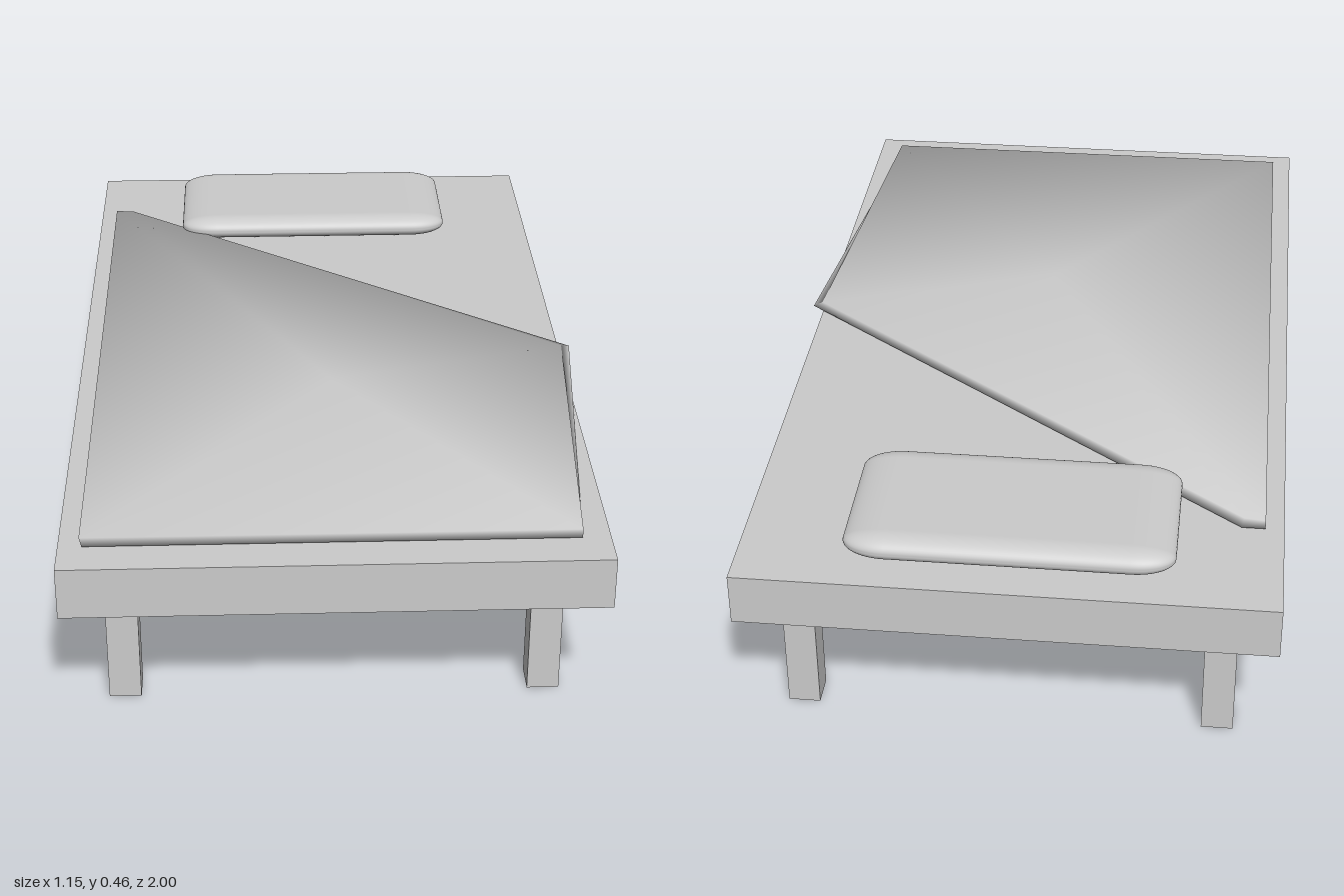
import * as THREE from 'three';
import { RoundedBoxGeometry } from 'three/addons/geometries/RoundedBoxGeometry.js';

const material = new THREE.MeshStandardMaterial({ color: 0xcccccc });

function addMesh(parent, name, geometry, x, y, z) {
  const mesh = new THREE.Mesh(geometry, material);
  mesh.name = name;
  mesh.position.set(x, y, z);
  parent.add(mesh);
  return mesh;
}

// Thin sheet from a lower and an upper outline, with softly fanned normals
function blanketGeometry() {
  const lower = [[-0.54, 0.41, -0.73], [-0.49, 0.41, -0.73], [0.575, 0.413, 0.07], [0.49, 0.41, 0.92], [-0.53, 0.41, 0.92]];
  const upper = [[-0.54, 0.431, -0.73], [-0.495, 0.431, -0.725], [0.555, 0.419, 0.08], [0.49, 0.43, 0.92], [-0.535, 0.431, 0.92]];
  const n = lower.length;
  const points = [...lower, ...upper, [0, 0.41, 0.25], [0, 0.43, 0.25]];
  const normals = points.map(([x, , z], i) => {
    const up = i < n || i === 2 * n ? -1 : 1;
    if (i >= 2 * n) return [0, up, 0];
    return new THREE.Vector3(Math.sign(x) * 0.65, up, Math.sign(z - 0.25) * 0.65).normalize().toArray();
  });
  const index = [];
  for (let i = 0; i < n; i++) {
    const j = (i + 1) % n;
    index.push(2 * n + 1, n + j, n + i); // top
    index.push(2 * n, i, j); // underside
    index.push(j, i, n + i, j, n + i, n + j); // hem
  }
  const geometry = new THREE.BufferGeometry();
  geometry.setAttribute('position', new THREE.Float32BufferAttribute(points.flat(), 3));
  geometry.setAttribute('normal', new THREE.Float32BufferAttribute(normals.flat(), 3));
  geometry.setIndex(index);
  return geometry;
}

export function createModel() {
  const bed = new THREE.Group();
  bed.name = 'bed';

  // Mattress slab
  addMesh(bed, 'mattress', new THREE.BoxGeometry(1.13, 0.115, 2), -0.015, 0.3485, 0);

  // Three pairs of legs, set just below the slab
  const legGeometry = new THREE.BoxGeometry(0.068, 0.273, 0.068);
  const rows = { front: 0.835, middle: -0.033, back: -0.865 };
  for (const [row, z] of Object.entries(rows)) {
    addMesh(bed, row + 'RightLeg', legGeometry, -0.461, 0.1365, z);
    addMesh(bed, row + 'LeftLeg', legGeometry, 0.433, 0.1365, z);
  }

  // Pillow: rounded box whose radius is stretched differently on each axis
  const radius = [0.09, 0.027, 0.05];
  const size = [0.69, 0.057, 0.36].map((s, i) => s / radius[i]);
  const pillow = addMesh(bed, 'pillow', new RoundedBoxGeometry(...size, 6, 1), -0.015, 0.4345, -0.752);
  pillow.scale.set(...radius);

  // Blanket with one corner turned away
  addMesh(bed, 'blanket', blanketGeometry(), 0, 0, 0);

  return bed;
}
